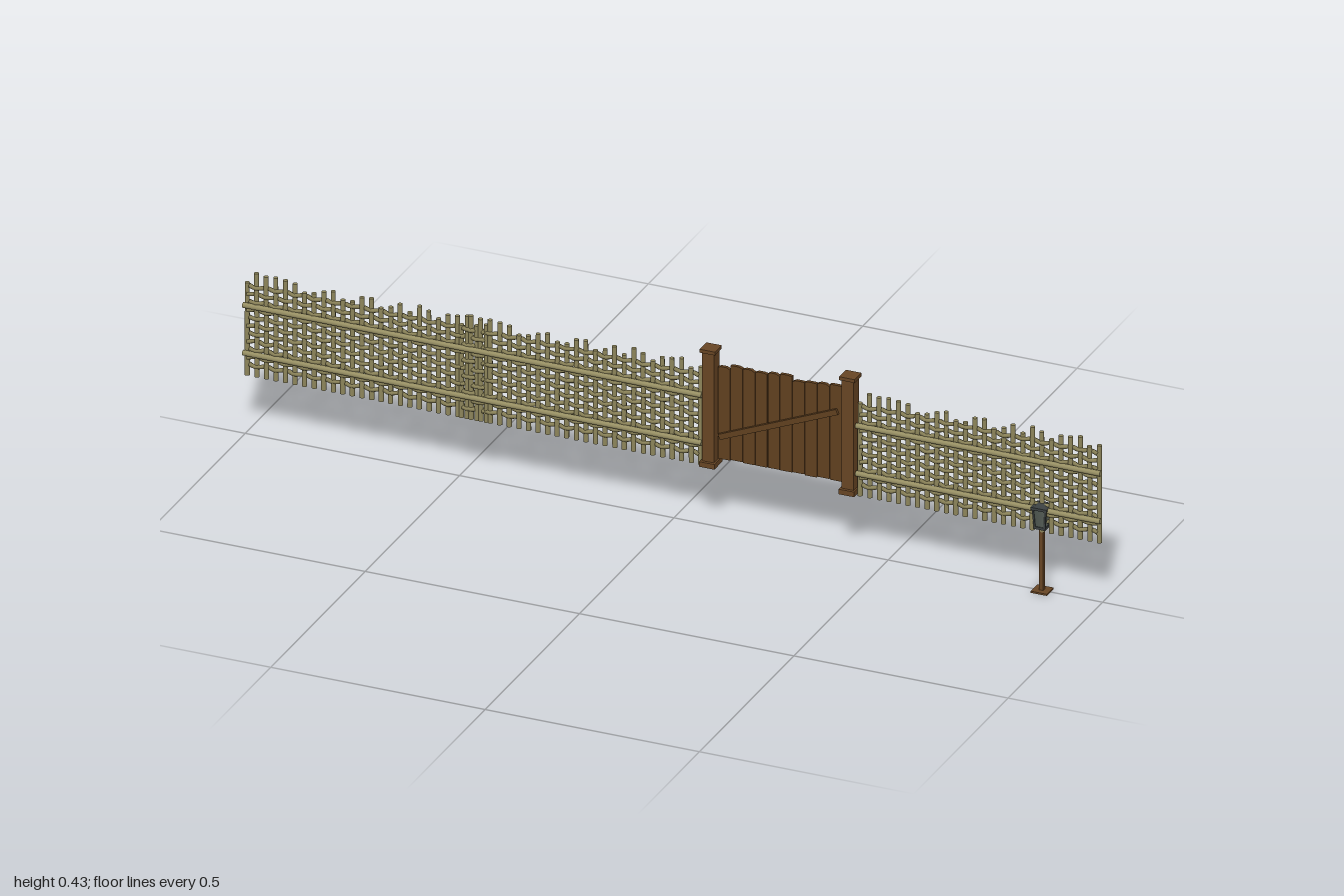
import * as THREE from 'three';

const mat = (name, color, side = THREE.FrontSide) => {
  const m = new THREE.MeshStandardMaterial({ color, side });
  m.name = name;
  return m;
};

export function createModel() {
  const stakeMat = mat('stakeWood', 0x8f875c);
  const weaveMat = mat('weaveWood', 0x8a8258);
  const railMat = mat('railWood', 0x989064);
  const postMat = mat('postWood', 0x684524);
  const plankMat = mat('plankWood', 0x60401f);
  const ironMat = mat('iron', 0x3b4041);
  const glassMat = mat('lampGlass', 0x5c655e);

  const root = new THREE.Group();
  root.name = 'fenceWithGate';
  const ZC = 0.003;

  let seed = 7;
  const rand = () => (seed = (seed * 16807) % 2147483647) / 2147483647;

  const add = (parent, name, geo, material, x = 0, y = 0, z = 0) => {
    const m = new THREE.Mesh(geo, material);
    m.name = name;
    m.position.set(x, y, z);
    parent.add(m);
    return m;
  };
  const box = (parent, name, material, w, h, d, x, y, z) =>
    add(parent, name, new THREE.BoxGeometry(w, h, d), material, x, y, z);

  // Wattle panel: upright stakes, woven rods and two front rails
  const W = 0.57, STAKES = 26, STEP = (W - 0.012) / (STAKES - 1);
  const makePanel = (cx) => {
    const panel = new THREE.Group();
    panel.name = 'wattlePanel';
    panel.position.set(cx, 0, ZC);
    seed = 41;
    for (let i = 0; i < STAKES; i++) {
      const top = 0.364 + rand() * 0.026;
      const h = top - 0.143;
      const s = add(panel, 'stake', new THREE.CylinderGeometry(0.0056, 0.006, h, 8), stakeMat,
        -W / 2 + 0.006 + i * STEP, 0.143 + h / 2, 0);
      s.rotation.z = (rand() - 0.5) * 0.01;
    }
    for (let r = 0; r < 11; r++) {
      const pts = [];
      for (let i = 0; i < STAKES; i++) {
        const side = (i + r) % 2 ? 1 : -1;
        pts.push(new THREE.Vector3(-W / 2 + 0.006 + i * STEP, (rand() - 0.5) * 0.002, side * 0.0048));
      }
      const curve = new THREE.CatmullRomCurve3(pts);
      add(panel, 'wovenRod', new THREE.TubeGeometry(curve, 76, 0.0052, 6), weaveMat, 0, 0.168 + r * 0.0188, 0);
    }
    for (const y of [0.198, 0.312]) {
      const rail = add(panel, 'rail', new THREE.CylinderGeometry(0.0065, 0.0065, W, 8), railMat, 0, y, 0.008);
      rail.rotation.z = Math.PI / 2;
    }
    root.add(panel);
  };
  [-0.715, -0.215, 0.715].forEach(makePanel);

  // Gate posts with stepped caps and feet
  for (const x of [0.087, 0.413]) {
    const post = new THREE.Group();
    post.name = 'gatePost';
    post.position.set(x, 0, ZC);
    box(post, 'postShaft', postMat, 0.028, 0.27, 0.028, 0, 0.285, 0);
    box(post, 'postCap', postMat, 0.036, 0.008, 0.036, 0, 0.422, 0);
    box(post, 'postFoot', postMat, 0.036, 0.012, 0.042, 0, 0.153, 0);
    root.add(post);
  }

  // Gate leaf
  const gate = new THREE.Group();
  gate.name = 'gate';
  root.add(gate);
  const PLANKS = 10, PITCH = 0.29 / PLANKS;
  seed = 99;
  for (let i = 0; i < PLANKS; i++) {
    const bottom = 0.166 + rand() * 0.003;
    const top = 0.386 + rand() * 0.011;
    const hw = PITCH / 2 - 0.0007;
    const s = new THREE.Shape();
    s.moveTo(-hw, bottom);
    s.lineTo(hw, bottom);
    s.lineTo(hw, top - rand() * 0.005);
    s.lineTo(hw * 0.4, top);
    s.lineTo(-hw * 0.5, top);
    s.lineTo(-hw, top - rand() * 0.005);
    add(gate, 'plank', new THREE.ExtrudeGeometry(s, { depth: 0.008, bevelEnabled: false }), plankMat,
      0.105 + PITCH * (i + 0.5), 0, -0.002);
  }
  for (const y of [0.195, 0.355]) box(gate, 'backRail', plankMat, 0.286, 0.018, 0.007, 0.25, y, -0.005);
  const dx = 0.275, dy = 0.115;
  const brace = box(gate, 'diagonalBrace', plankMat, Math.hypot(dx, dy), 0.013, 0.007, 0.248, 0.278, 0.0095);
  brace.rotation.z = Math.atan2(dy, dx);

  // Strap hinges on the back
  for (const y of [0.195, 0.36]) {
    const hinge = new THREE.Group();
    hinge.name = 'hinge';
    hinge.position.set(0, y, -0.0115);
    box(hinge, 'hingePlate', ironMat, 0.022, 0.022, 0.004, 0.088, 0, 0);
    const strap = new THREE.Shape([
      new THREE.Vector2(0.104, -0.007), new THREE.Vector2(0.15, -0.004), new THREE.Vector2(0.16, 0),
      new THREE.Vector2(0.15, 0.004), new THREE.Vector2(0.104, 0.007)]);
    add(hinge, 'hingeStrap', new THREE.ExtrudeGeometry(strap, { depth: 0.004, bevelEnabled: false }), ironMat, 0, 0, -0.002);
    add(hinge, 'hingePin', new THREE.CylinderGeometry(0.004, 0.004, 0.022, 8), ironMat, 0.102, 0, 0);
    root.add(hinge);
  }

  // Sliding latch on the back
  const latch = new THREE.Group();
  latch.name = 'latch';
  latch.position.set(0, 0.292, 0);
  root.add(latch);
  box(latch, 'latchPlate', ironMat, 0.04, 0.02, 0.011, 0.365, 0, -0.0075);
  box(latch, 'latchKeeper', ironMat, 0.016, 0.02, 0.005, 0.412, 0, -0.013);
  const bolt = add(latch, 'latchBolt', new THREE.CylinderGeometry(0.0035, 0.0035, 0.076, 8), ironMat, 0.383, 0, -0.017);
  bolt.rotation.z = Math.PI / 2;
  for (const x of [0.35, 0.378, 0.412]) box(latch, 'latchLoop', ironMat, 0.006, 0.014, 0.01, x, 0, -0.017);
  box(latch, 'latchHandle', ironMat, 0.006, 0.02, 0.004, 0.364, 0.004, -0.022);

  // Path lamp on a slim pole
  const lamp = new THREE.Group();
  lamp.name = 'pathLamp';
  lamp.position.set(0.86, 0, ZC);
  root.add(lamp);
  box(lamp, 'lampFoot', postMat, 0.038, 0.004, 0.035, 0, 0.002, 0);
  box(lamp, 'lampPole', postMat, 0.009, 0.148, 0.009, 0, 0.078, 0);
  box(lamp, 'lampBase', ironMat, 0.027, 0.006, 0.027, 0, 0.155, 0);
  const glass = add(lamp, 'lampGlass', new THREE.CylinderGeometry(0.021, 0.017, 0.042, 4), glassMat, 0, 0.179, 0);
  glass.rotation.y = Math.PI / 4;
  for (const sx of [-1, 1]) for (const sz of [-1, 1]) {
    const bar = box(lamp, 'lampBar', ironMat, 0.004, 0.043, 0.004, sx * 0.0132, 0.179, sz * 0.0132);
    bar.rotation.set(sz * 0.067, 0, -sx * 0.067);
  }
  box(lamp, 'lampRim', ironMat, 0.037, 0.006, 0.037, 0, 0.2015, 0);
  const roof = add(lamp, 'lampRoof', new THREE.CylinderGeometry(0.008, 0.022, 0.008, 4), ironMat, 0, 0.208, 0);
  roof.rotation.y = Math.PI / 4;

  return root;
}
